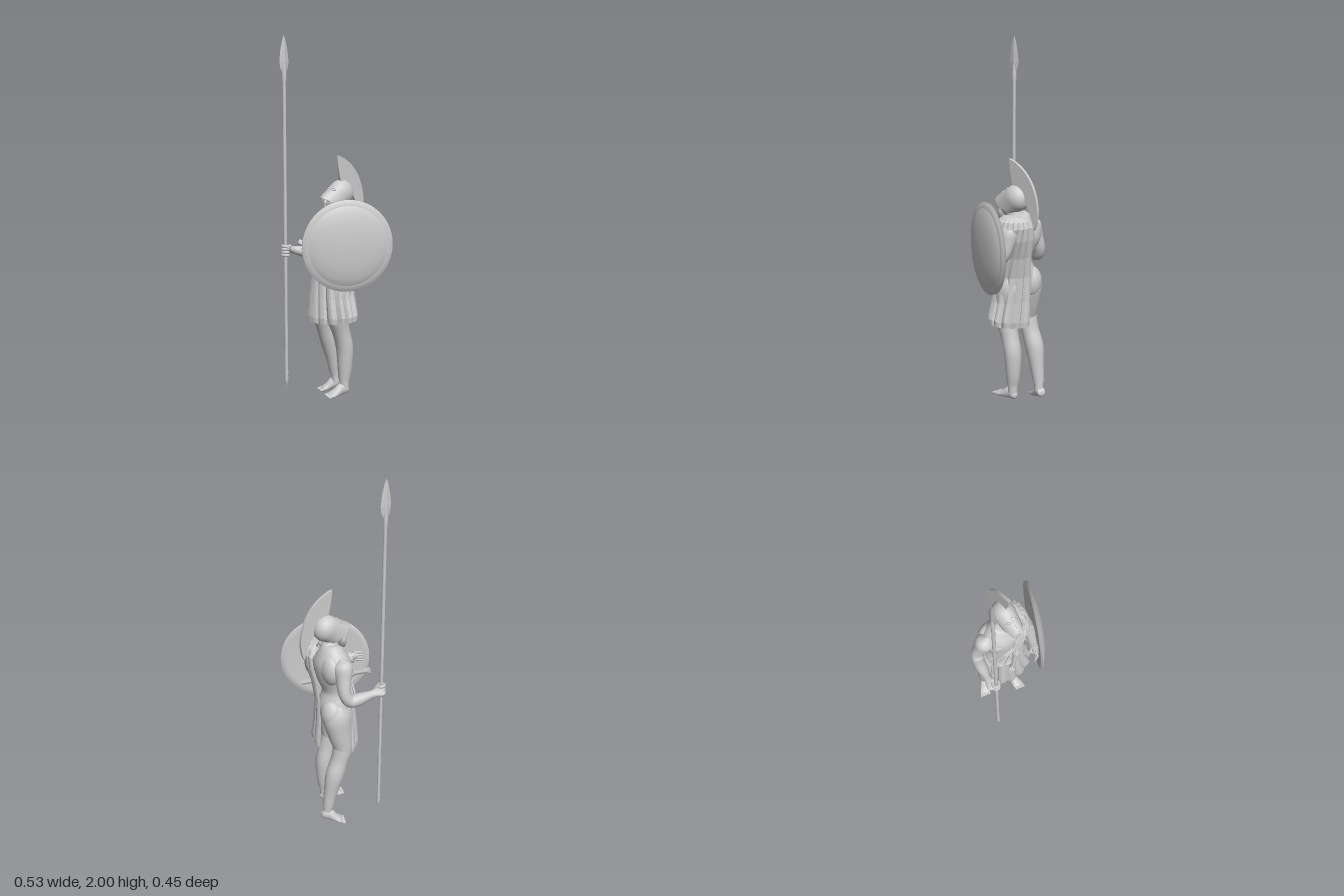
import * as THREE from 'three';

const V = (x, y, z) => new THREE.Vector3(x, y, z);
const smooth = new THREE.MeshStandardMaterial({ color: 0xcccccc, side: THREE.DoubleSide });
const flat = new THREE.MeshStandardMaterial({ color: 0xcccccc, side: THREE.DoubleSide, flatShading: true });

// Surface from rows x cols points; closed joins the last column to the first.
function grid(rows, cols, fn, closed) {
  const pos = [], idx = [], n = closed ? cols : cols - 1;
  for (let i = 0; i < rows; i++)
    for (let j = 0; j < cols; j++) pos.push(...fn(i, j).toArray());
  for (let i = 0; i < rows - 1; i++)
    for (let j = 0; j < n; j++) {
      const k = (j + 1) % cols, a = i * cols + j, b = i * cols + k;
      idx.push(a, a + cols, b, b, a + cols, b + cols);
    }
  const g = new THREE.BufferGeometry();
  g.setAttribute('position', new THREE.Float32BufferAttribute(pos, 3));
  g.setIndex(idx);
  g.computeVertexNormals();
  return g;
}

// Rounded limb through [x, y, z, sideRadius, frontRadius] stations.
function limbGeo(pts, ref = V(0, 0, 1), rows = 30, cols = 20) {
  const path = new THREE.CatmullRomCurve3(pts.map(p => V(p[0], p[1], p[2])), false, 'catmullrom');
  const rad = new THREE.CatmullRomCurve3(pts.map(p => V(p[3], p[4] ?? p[3], 0)), false, 'catmullrom');
  return grid(rows + 1, cols, (i, j) => {
    const u = i / rows, t = path.getTangent(u), r = rad.getPoint(u);
    const side = V().crossVectors(t, ref).normalize(), up = V().crossVectors(side, t);
    const a = j / cols * Math.PI * 2;
    return path.getPoint(u).addScaledVector(side, Math.cos(a) * Math.max(r.x, 0.0004))
      .addScaledVector(up, Math.sin(a) * Math.max(r.y, 0.0004));
  }, true);
}

export function createModel() {
  const root = new THREE.Group();
  const add = (name, geo, mat = smooth, parent = root) => {
    const m = new THREE.Mesh(geo, mat);
    m.name = name;
    parent.add(m);
    return m;
  };
  const ball = (name, p, s) => {
    const m = add(name, new THREE.SphereGeometry(1, 20, 14));
    m.position.set(...p);
    m.scale.set(...s);
  };
  const rod = (name, a, b, r1, r2, sides = 12, mat = smooth) => {
    const d = b.clone().sub(a), m = add(name, new THREE.CylinderGeometry(r2, r1, d.length(), sides), mat);
    m.position.copy(a).addScaledVector(d, 0.5);
    m.quaternion.setFromUnitVectors(V(0, 1, 0), d.normalize());
  };
  const UP = V(0, 1, 0);

  // Torso, neck and muscles
  add('torso', limbGeo([
    [-0.045, 0.6, -0.05, 0.001], [-0.045, 0.64, -0.05, 0.09, 0.075], [-0.05, 0.72, -0.055, 0.1, 0.085],
    [-0.045, 0.81, -0.045, 0.083, 0.07], [-0.035, 0.9, -0.052, 0.103, 0.09], [-0.03, 0.98, -0.058, 0.122, 0.092],
    [-0.02, 1.035, -0.06, 0.09, 0.068], [-0.005, 1.07, -0.055, 0.045, 0.047], [0, 1.13, -0.04, 0.04, 0.042]], V(0, 0, 1), 44, 28));
  ball('rightChest', [-0.085, 0.96, -0.012], [0.06, 0.046, 0.037]);
  ball('leftChest', [0.01, 0.96, -0.008], [0.055, 0.046, 0.038]);
  ball('rightShoulderBlade', [-0.085, 0.96, -0.1], [0.07, 0.085, 0.047]);
  ball('rightButtock', [-0.092, 0.69, -0.095], [0.067, 0.09, 0.061]);

  // Legs with greaves
  const legs = [
    ['right', [[-0.09, 0.75, -0.06, 0.05], [-0.1, 0.68, -0.07, 0.073, 0.08], [-0.112, 0.58, -0.06, 0.064, 0.07],
      [-0.125, 0.47, -0.045, 0.05, 0.053], [-0.125, 0.4, -0.068, 0.045], [-0.125, 0.31, -0.1, 0.046, 0.047],
      [-0.12, 0.2, -0.123, 0.034], [-0.118, 0.11, -0.138, 0.026], [-0.115, 0.06, -0.142, 0.025]]],
    ['left', [[0.01, 0.75, -0.04, 0.05], [0.02, 0.68, -0.04, 0.073, 0.08], [0.028, 0.58, -0.03, 0.064, 0.07],
      [0.028, 0.47, -0.03, 0.05, 0.053], [0.03, 0.4, -0.052, 0.044], [0.032, 0.31, -0.075, 0.045, 0.042],
      [0.032, 0.2, -0.078, 0.036], [0.03, 0.13, -0.075, 0.028], [0.03, 0.08, -0.075, 0.026]]]];
  for (const [side, p] of legs) {
    add(side + 'Leg', limbGeo(p, V(0, 0, 1), 40));
    // Greave shell lies just outside the shin
    add(side + 'Greave', limbGeo(p.slice(3, 8).map(([x, y, z, r, s]) => [x, y, z, r + 0.005, (s ?? r) + 0.005]), V(0, 0, 1), 24));
  }

  // Feet with toes
  const feet = [['right', V(-0.108, 0.06, -0.165), V(-0.162, 0.016, -0.075)],
    ['left', V(0.03, 0.07, -0.09), V(0.027, 0.053, 0.03)]];
  for (const [side, heel, toe] of feet) {
    const at = (u, lift, rx, ry) => [...heel.clone().lerp(toe, u).add(V(0, lift, 0)).toArray(), rx, ry];
    add(side + 'Foot', limbGeo([at(-0.12, 0, 0.002, 0.002), at(0, 0, 0.023, 0.026), at(0.3, 0.008, 0.024, 0.032),
      at(0.65, 0, 0.028, 0.021), at(0.95, -0.003, 0.031, 0.013), at(1.08, -0.003, 0.003, 0.003)], UP));
    const dir = toe.clone().sub(heel).normalize(), across = V().crossVectors(dir, UP).normalize();
    for (let i = 0; i < 5; i++) {
      const inner = (side === 'right' ? 4 - i : i) / 4;
      const p = toe.clone().addScaledVector(across, (i - 2) * 0.012).addScaledVector(dir, 0.004 + (1 - inner) * 0.012);
      rod(side + 'Toe', p.clone().addScaledVector(dir, -0.02), p, 0.008, 0.007, 8);
      ball(side + 'ToeTip', p.toArray(), [0.0075, 0.0075, 0.0095]);
    }
  }

  // Right arm, hand closed round the spear
  add('rightArm', limbGeo([[-0.12, 1.035, -0.055, 0.012], [-0.14, 0.995, -0.058, 0.052, 0.056], [-0.165, 0.93, -0.068, 0.041, 0.045],
    [-0.188, 0.86, -0.075, 0.034, 0.037], [-0.203, 0.815, -0.05, 0.034], [-0.216, 0.82, 0, 0.033], [-0.229, 0.833, 0.06, 0.022],
    [-0.236, 0.84, 0.09, 0.018, 0.025], [-0.24, 0.843, 0.122, 0.012, 0.031], [-0.237, 0.843, 0.143, 0.003, 0.01]], V(0.9, 0.4, 0.1), 44));
  for (let i = 0; i < 4; i++) {
    const f = add('rightFinger', new THREE.TorusGeometry(0.018, 0.0085, 8, 14, 4.4));
    f.rotation.set(Math.PI / 2, 0, -0.3);
    f.position.set(-0.222, 0.817 + i * 0.0165, 0.131);
  }
  rod('rightThumb', V(-0.225, 0.862, 0.1), V(-0.196, 0.858, 0.138), 0.011, 0.008, 8);

  // Left arm behind the shield
  add('leftArm', limbGeo([[0.07, 1.04, -0.095, 0.012], [0.09, 1.0, -0.1, 0.05], [0.112, 0.93, -0.1, 0.041],
    [0.13, 0.87, -0.085, 0.035], [0.128, 0.86, -0.045, 0.035], [0.105, 0.88, 0.02, 0.034], [0.068, 0.905, 0.1, 0.023],
    [0.052, 0.915, 0.135, 0.024, 0.016], [0.035, 0.92, 0.165, 0.003]], V(0.9, 0.3, 0.2), 40));
  for (let i = 0; i < 4; i++)
    rod('leftFinger', V(0.053, 0.895 + i * 0.014, 0.135), V(0.018 + i * 0.006, 0.895 + i * 0.014, 0.172), 0.008, 0.006, 8);
  rod('elbowStrap', V(0.115, 0.875, 0.005), V(0.092, 0.886, 0.045), 0.042, 0.042, 14, flat);
  rod('handStrap', V(0.063, 0.907, 0.11), V(0.054, 0.912, 0.127), 0.032, 0.032, 14, flat);

  // Round shield: shallow dome, flat rim, flat back
  const profile = [[0, -0.002], [0.215, -0.008], [0.245, -0.01], [0.245, 0.006], [0.215, 0.008], [0.213, 0.012],
    [0.18, 0.025], [0.13, 0.035], [0.07, 0.041], [0, 0.043]].map(p => new THREE.Vector2(...p));
  const shield = add('shield', new THREE.LatheGeometry(profile, 56));
  shield.position.set(0.145, 0.905, 0.005);
  shield.quaternion.setFromUnitVectors(UP, V(0.886, 0, 0.463).normalize());

  // Spear with leaf blade and butt spike
  const lathe = (name, pts, sides, mat, sx = 1) => {
    const m = add(name, new THREE.LatheGeometry(pts.map(p => new THREE.Vector2(...p)), sides), mat);
    m.position.set(-0.222, 0, 0.133);
    m.scale.x = sx;
  };
  lathe('spearShaft', [[0.009, 0.13], [0.01, 1.0], [0.009, 1.8]], 12, smooth);
  lathe('spearBlade', [[0.009, 1.77], [0.011, 1.8], [0.024, 1.825], [0.031, 1.86], [0.024, 1.92], [0.012, 1.97], [0, 2]], 4, flat, 0.25);
  lathe('spearSocket', [[0.012, 1.76], [0.013, 1.8], [0.005, 1.88]], 10, smooth);
  lathe('spearButt', [[0, 0.055], [0.007, 0.085], [0.013, 0.115], [0.008, 0.125], [0.012, 0.14], [0.01, 0.16]], 10, smooth);

  // Pleated cloak: y, centre x, z, radius x, z, start and end angle, pleat depth
  const rows = [[0.46, -0.02, -0.035, 0.142, 0.108, -82, 186, 0.012], [0.49, -0.02, -0.035, 0.145, 0.11, -82, 186, 0.013],
    [0.6, -0.028, -0.037, 0.126, 0.105, -82, 186, 0.011], [0.74, -0.033, -0.043, 0.108, 0.1, -82, 186, 0.008],
    [0.85, -0.02, -0.05, 0.11, 0.103, -40, 188, 0.008], [0.95, 0.0, -0.064, 0.127, 0.11, 0, 192, 0.007],
    [1.02, 0.02, -0.08, 0.115, 0.1, 15, 200, 0.006], [1.055, 0.035, -0.085, 0.088, 0.083, 10, 210, 0.004],
    [1.075, 0.045, -0.085, 0.05, 0.055, 5, 220, 0.001], [1.082, 0.05, -0.085, 0.003, 0.003, 5, 220, 0]];
  add('cloak', grid(rows.length, 51, (i, j) => {
    const [y, cx, cz, rx, rz, a0, a1, pleat] = rows[i];
    const a = THREE.MathUtils.degToRad(a0 + (a1 - a0) * j / 50);
    const fold = pleat * [-1, 0.2, 1, 0.9, 0.3][j % 5] * (0.75 + 0.25 * Math.sin(j * 1.7));
    const hem = i < 2 ? 0.012 * Math.sin(a) + fold * 0.5 : 0;
    return V(cx + Math.sin(a) * (rx + fold), y + hem, cz + Math.cos(a) * (rz + fold));
  }, false), flat);
  // Folds hanging down the chest and the rolled edge at the right hip
  for (let i = 0; i < 3; i++)
    add('chestFold', limbGeo([[0.06 - i * 0.012, 1.065, -0.045, 0.012], [0.045 - i * 0.015, 1.0, 0.025, 0.01],
      [0.015 - i * 0.025, 0.88, 0.047, 0.009], [-0.01 - i * 0.045, 0.76, 0.05, 0.005]], V(0, 0, 1), 10, 6), flat);
  add('hipRoll', limbGeo([[-0.15, 0.72, -0.03, 0.004], [-0.125, 0.735, 0.015, 0.011], [-0.07, 0.75, 0.047, 0.011],
    [0, 0.77, 0.055, 0.005]], UP, 10, 6), flat);

  // Sheathed sword slung across the body
  const sword = t => V(-0.11, 0.905, 0.13).lerp(V(0.19, 0.755, -0.12), t);
  rod('scabbard', sword(0.28), sword(1), 0.019, 0.013, 8, flat);
  rod('swordGrip', sword(0.06), sword(0.24), 0.011, 0.013, 8);
  rod('swordPommel', sword(0), sword(0.07), 0.018, 0.016, 8, flat);
  rod('swordGuard', sword(0.22), sword(0.29), 0.016, 0.024, 8, flat);

  // Head and beard
  ball('face', [0, 1.125, -0.022], [0.046, 0.062, 0.058]);
  ball('nose', [0, 1.122, 0.035], [0.008, 0.016, 0.011]);
  add('beard', limbGeo([[0, 1.105, 0.012, 0.034, 0.02], [0, 1.08, 0.018, 0.037, 0.026], [0, 1.05, 0.028, 0.025, 0.022],
    [0, 1.025, 0.038, 0.003]], V(0, 0, 1), 12, 14));
  for (const s of [-1, 1]) {
    rod('moustache', V(0, 1.106, 0.038), V(s * 0.026, 1.09, 0.028), 0.006, 0.003, 8);
    ball('eye', [s * 0.018, 1.135, 0.028], [0.009, 0.006, 0.006]);
  }

  // Helmet pushed back on the head: dome, then cheeks and face plate
  const helmet = new THREE.Group();
  helmet.name = 'helmet';
  helmet.position.set(0, 1.165, -0.075);
  helmet.rotation.x = -0.8;
  root.add(helmet);
  const shell = grid(15, 36, (i, j) => {
    const a = j / 36 * Math.PI * 2, front = Math.cos(a);
    if (i < 9) {
      const e = (1 - i / 8) * Math.PI / 2, r = Math.max(Math.cos(e), 0.001);
      return V(Math.sin(a) * 0.061 * r, Math.sin(e) * 0.07, front * 0.073 * r);
    }
    const t = (i - 8) / 6, drop = 0.085 + 0.025 * front;
    return V(Math.sin(a) * (0.061 - 0.008 * t), -t * drop, front * (0.073 + 0.015 * t * front));
  }, true);
  add('helmetShell', shell, smooth, helmet);
  const guard = add('noseGuard', new THREE.BoxGeometry(0.009, 0.1, 0.008), flat, helmet);
  guard.position.set(0, -0.063, 0.082);
  guard.rotation.x = -0.14;
  for (const s of [-1, 1]) {
    const rim = add('eyeRim', new THREE.TorusGeometry(0.012, 0.0025, 6, 18), smooth, helmet);
    rim.position.set(s * 0.025, -0.035, 0.071);
    rim.rotation.set(-0.1, s * 0.4, s * 0.25);
    rim.scale.y = 0.55;
  }

  // Crest
  const arc = new THREE.Shape();
  arc.moveTo(-0.035, 1.372);
  arc.bezierCurveTo(-0.14, 1.34, -0.215, 1.25, -0.226, 1.12);
  arc.quadraticCurveTo(-0.227, 1.05, -0.205, 1.01);
  arc.quadraticCurveTo(-0.185, 1.09, -0.14, 1.16);
  arc.quadraticCurveTo(-0.11, 1.21, -0.06, 1.23);
  arc.quadraticCurveTo(-0.04, 1.3, -0.035, 1.372);
  const crest = add('crest', new THREE.ExtrudeGeometry(arc, { depth: 0.016, bevelEnabled: false, curveSegments: 14 }));
  crest.rotation.y = -Math.PI / 2;
  crest.position.x = 0.017;

  return root;
}
